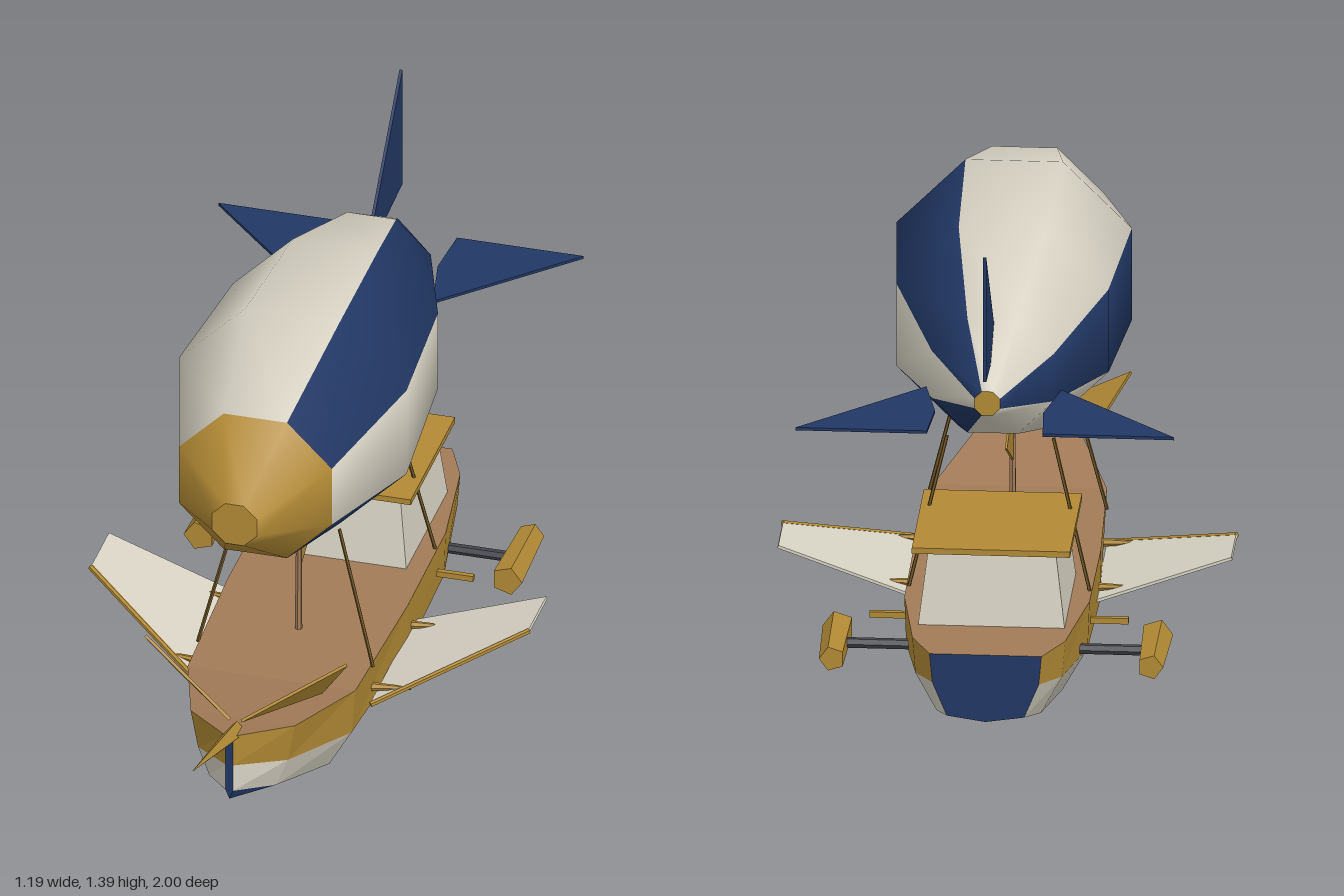
import * as THREE from 'three';

const mat = (name, color) => {
  const m = new THREE.MeshStandardMaterial({ color });
  m.name = name;
  return m;
};

export function createModel() {
  const model = new THREE.Group();
  model.name = 'airship';
  const cream = mat('cream', 0xd8d3c4);
  const navy = mat('navy', 0x213764);
  const gold = mat('gold', 0xb28a35);
  const wood = mat('wood', 0xa27b58);
  const iron = mat('iron', 0x43454c);
  const rope = mat('rope', 0x6e5524);

  const V = (x, y, z) => new THREE.Vector3(x, y, z);
  const add = (name, geometry, material) => {
    const mesh = new THREE.Mesh(geometry, material);
    mesh.name = name;
    model.add(mesh);
    return mesh;
  };
  const flat = (g) => {
    const f = g.index ? g.toNonIndexed() : g;
    f.computeVertexNormals();
    return f;
  };

  // Skin over closed rings running from +z to -z; mats[j] colours facet j
  const loft = (name, rings, mats, smooth) => {
    const n = rings[0].length;
    const index = [];
    const g = new THREE.BufferGeometry().setFromPoints(rings.flat());
    for (let j = 0; j < n; j++) {
      const start = index.length;
      const k = (j + 1) % n;
      for (let i = 0; i < rings.length - 1; i++) {
        const a = i * n, b = a + n;
        index.push(a + j, b + j, b + k, a + j, b + k, a + k);
      }
      g.addGroup(start, index.length - start, j);
    }
    g.setIndex(index);
    if (smooth) g.computeVertexNormals();
    return add(name, smooth ? g : flat(g), mats);
  };
  // Flat cap over one ring
  const cap = (name, ring, material, back) => {
    const g = new THREE.BufferGeometry().setFromPoints(ring);
    const index = [];
    for (let i = 1; i < ring.length - 1; i++) index.push(0, ...(back ? [i + 1, i] : [i, i + 1]));
    g.setIndex(index);
    return add(name, flat(g), material);
  };
  // Thin solid plate with the given convex outline
  const plate = (name, pts, material, t = 0.008) => {
    const normal = pts[1].clone().sub(pts[0]).cross(pts[2].clone().sub(pts[0])).setLength(t / 2);
    const n = pts.length;
    const all = [...pts.map((p) => p.clone().add(normal)), ...pts.map((p) => p.clone().sub(normal))];
    const index = [];
    for (let i = 1; i < n - 1; i++) index.push(0, i, i + 1, n, n + i + 1, n + i);
    for (let i = 0; i < n; i++) {
      const k = (i + 1) % n;
      index.push(i, n + i, n + k, i, n + k, k);
    }
    const g = new THREE.BufferGeometry().setFromPoints(all);
    g.setIndex(index);
    return add(name, flat(g), material);
  };
  // Tapered round bar between two points
  const bar = (name, a, b, ra, rb, material, sides = 6) => {
    const d = b.clone().sub(a);
    const mesh = add(name, flat(new THREE.CylinderGeometry(rb, ra, d.length(), sides)), material);
    mesh.position.copy(a).addScaledVector(d, 0.5);
    mesh.quaternion.setFromUnitVectors(V(0, 1, 0), d.normalize());
    return mesh;
  };

  // Balloon: eight-sided envelope with a gold nose
  const octagon = ([z, apothem]) => Array.from({ length: 8 }, (_, k) => {
    const a = (k - 0.5) * Math.PI / 4, r = apothem / Math.cos(Math.PI / 8);
    return V(r * Math.cos(a), 0.96 + r * Math.sin(a), z);
  });
  const envelope = [[0.4, 0.205], [0.04, 0.305], [-0.37, 0.275], [-0.72, 0.158], [-0.92, 0.033]].map(octagon);
  loft('balloon', envelope, [cream, navy, cream, cream, navy, cream, cream, navy], true);
  const nose = [[0.6, 0.06], [0.4, 0.205]].map(octagon);
  loft('balloonNose', nose, Array(8).fill(gold), true);
  cap('noseCap', nose[0], gold, false);
  cap('balloonTailCap', envelope[4], gold, true);

  // Tail fins
  plate('topFin', [V(0, 1.1, -0.72), V(0, 1.395, -1), V(0, 1.05, -1), V(0, 1.04, -0.85)], navy);

  // Hull stations: z, deck half width and y, band edge, lower edge, keel y
  const stations = [
    [0.65, 0.01, 0.35, 0.01, 0.262, 0.01, 0.185, 0.16],
    [0.52, 0.14, 0.327, 0.12, 0.22, 0.09, 0.14, 0.1],
    [0.245, 0.225, 0.285, 0.215, 0.157, 0.155, 0.052, 0.02],
    [-0.2, 0.242, 0.285, 0.24, 0.147, 0.177, 0.042, 0.002],
    [-0.57, 0.24, 0.285, 0.235, 0.155, 0.17, 0.04, 0.006],
    [-0.86, 0.198, 0.285, 0.19, 0.187, 0.135, 0.085, 0.063],
    [-0.975, 0.145, 0.285, 0.138, 0.207, 0.1, 0.115, 0.1],
  ];
  const hull = stations.map(([z, w0, y0, w1, y1, w2, y2, keel]) => [
    V(-w0, y0, z), V(-w1, y1, z), V(-w2, y2, z), V(0, keel, z),
    V(w2, y2, z), V(w1, y1, z), V(w0, y0, z),
  ]);
  loft('hull', hull, [gold, cream, navy, navy, cream, gold, wood], false);
  cap('stem', hull[0], navy, false);
  cap('transom', hull[6], navy, true);
  bar('bowsprit', V(0, 0.325, 0.58), V(0, 0.45, 1), 0.026, 0.001, gold, 4);

  // Mast and pennant
  bar('mast', V(0, 0.28, -0.015), V(0, 0.655, -0.02), 0.01, 0.007, wood);
  plate('pennant', [V(0, 0.62, -0.03), V(0, 0.465, -0.03), V(0, 0.58, -0.255)], gold, 0.006);

  // Cabin with sloping walls and a flat roof
  const rect = (w, y, zf, zb) => [V(-w, y, zf), V(w, y, zf), V(w, y, zb), V(-w, y, zb)];
  const base = rect(0.19, 0.283, -0.37, -0.768), top = rect(0.165, 0.488, -0.4, -0.745);
  const walls = new THREE.BufferGeometry().setFromPoints([...base, ...top]);
  walls.setIndex([0, 1, 2, 3].flatMap((i) => {
    const k = (i + 1) % 4;
    return [i, k, 4 + k, i, 4 + k, 4 + i];
  }));
  add('cabin', flat(walls), cream);
  add('cabinRoof', new THREE.BoxGeometry(0.41, 0.016, 0.425), gold).position.set(0, 0.495, -0.572);

  // Parts repeated on both sides
  for (const s of [1, -1]) {
    plate('sideFin', [V(s * 0.175, 0.907, -0.68), V(s * 0.49, 0.907, -1),
      V(s * 0.15, 0.907, -1), V(s * 0.14, 0.907, -0.85)], navy);
    plate('bowSail', [V(s * 0.27, 0.515, 0.49), V(s * 0.19, 0.39, 0.44), V(s * 0.015, 0.362, 0.59)], gold);

    // Wing with a gold leading edge and two pegs
    plate('wing', [V(s * 0.235, 0.18, 0.13), V(s * 0.588, 0.308, -0.125),
      V(s * 0.588, 0.308, -0.295), V(s * 0.235, 0.18, -0.295)], cream);
    bar('wingEdge', V(s * 0.235, 0.18, 0.135), V(s * 0.588, 0.308, -0.125), 0.008, 0.008, gold);
    for (const z of [0.08, -0.24]) {
      bar('wingPeg', V(s * 0.22, 0.2, z), V(s * 0.325, 0.205, z - 0.01), 0.012, 0.004, gold);
    }

    // Engine pod on an iron arm
    bar('engineArm', V(s * 0.2, 0.187, -0.655), V(s * 0.4, 0.187, -0.655), 0.014, 0.014, iron);
    const pod = new THREE.CylinderGeometry(0.042, 0.034, 0.24, 5, 1, false, s * Math.PI / 2);
    add('enginePod', flat(pod.rotateX(Math.PI / 2)), gold).position.set(s * 0.412, 0.187, -0.657);
    add('sideStep', new THREE.BoxGeometry(0.115, 0.016, 0.014), gold).position.set(s * 0.278, 0.207, -0.497);

    // Ropes to the balloon
    for (const [z0, z1] of [[0.11, 0.085], [-0.49, -0.455]]) {
      const end = z1 < 0 ? 0.69 : 0.665;
      bar('rope', V(s * 0.235, 0.28, z0), V(s * 0.138, end, z1), 0.005, 0.005, rope, 5);
    }
  }
  return model;
}
